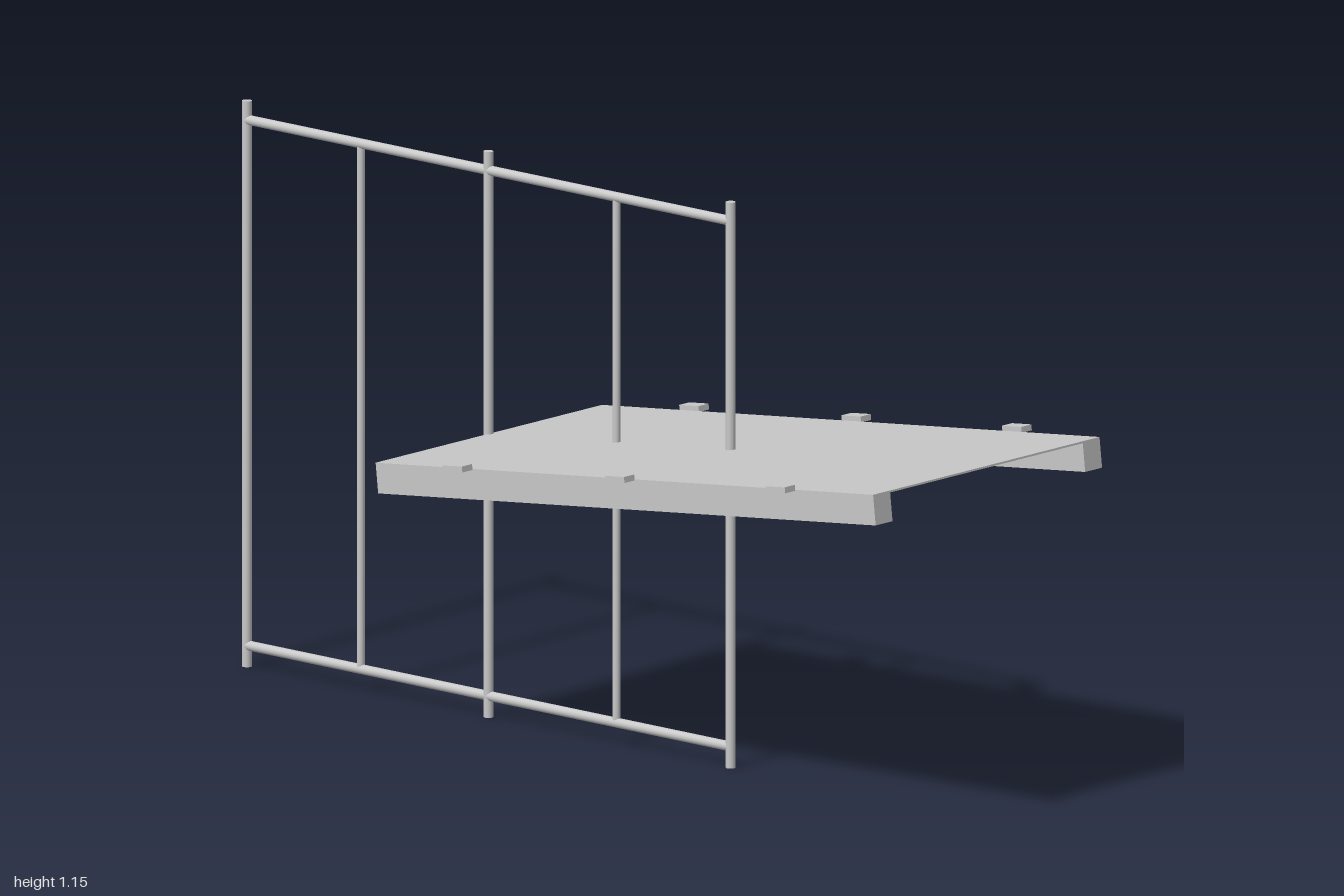
import * as THREE from 'three';

export function createModel() {
  const model = new THREE.Group();
  const grey = new THREE.MeshStandardMaterial({ color: 0xc8c8c8, side: THREE.DoubleSide });
  grey.name = 'light grey';

  const add = (parent, name, geometry, x, y, z) => {
    const mesh = new THREE.Mesh(geometry, grey);
    mesh.name = name;
    mesh.position.set(x, y, z);
    parent.add(mesh);
    return mesh;
  };

  // Upright tube fence in the plane z = 0
  const fence = new THREE.Group();
  fence.name = 'fence';
  model.add(fence);
  const tube = (r, length) => new THREE.CylinderGeometry(r, r, length, 16);
  const left = -0.99, right = 0.306, low = 0.043, high = 1.116;
  for (const x of [left, -0.343, right]) add(fence, 'mainPost', tube(0.01, 1.155), x, 0.5775, 0);
  for (const x of [-0.685, 0]) add(fence, 'thinPost', tube(0.008, high - low), x, (high + low) / 2, 0);
  for (const y of [low, high]) {
    add(fence, 'rail', tube(0.01, right - left), (left + right) / 2, y, 0).rotation.z = Math.PI / 2;
  }

  // Sloping platform: local x runs up the slope, local y = 0 is the deck top
  const platform = new THREE.Group();
  platform.name = 'platform';
  platform.position.set(-0.342, 0.578, 0);
  platform.rotation.z = 0.11;
  model.add(platform);
  const length = 1.341, skin = 0.004;
  // Box given by its limits along x, y and z
  const box = (name, x0, x1, y0, y1, z0, z1) => add(platform, name,
    new THREE.BoxGeometry(x1 - x0, y1 - y0, z1 - z0), (x0 + x1) / 2, (y0 + y1) / 2, (z0 + z1) / 2);

  box('deck', 0, length, -skin, 0, -0.285, 0.285);
  box('crossBeam', 1.035, 1.135, -0.044, -skin, -0.285, 0.285);
  for (const side of [-1, 1]) {
    const z = (a, b) => (side > 0 ? [a, b] : [-b, -a]);
    box('sideBeam', 0, length, -0.062, 0, ...z(0.285, 0.335));

    // Hollow runner, open at both ends
    const runner = box('runner', 0.12, 0.85, -0.049, -skin, ...z(0.155, 0.225));
    runner.geometry.setIndex(Array.from(runner.geometry.index.array).slice(12));
    runner.geometry.clearGroups();

    // Small tabs along the edge
    for (const x of [0.235, 0.672, 1.105]) box('edgeTab', x - 0.026, x + 0.026, -0.002, 0.01, ...z(0.335, 0.365));
  }
  return model;
}
